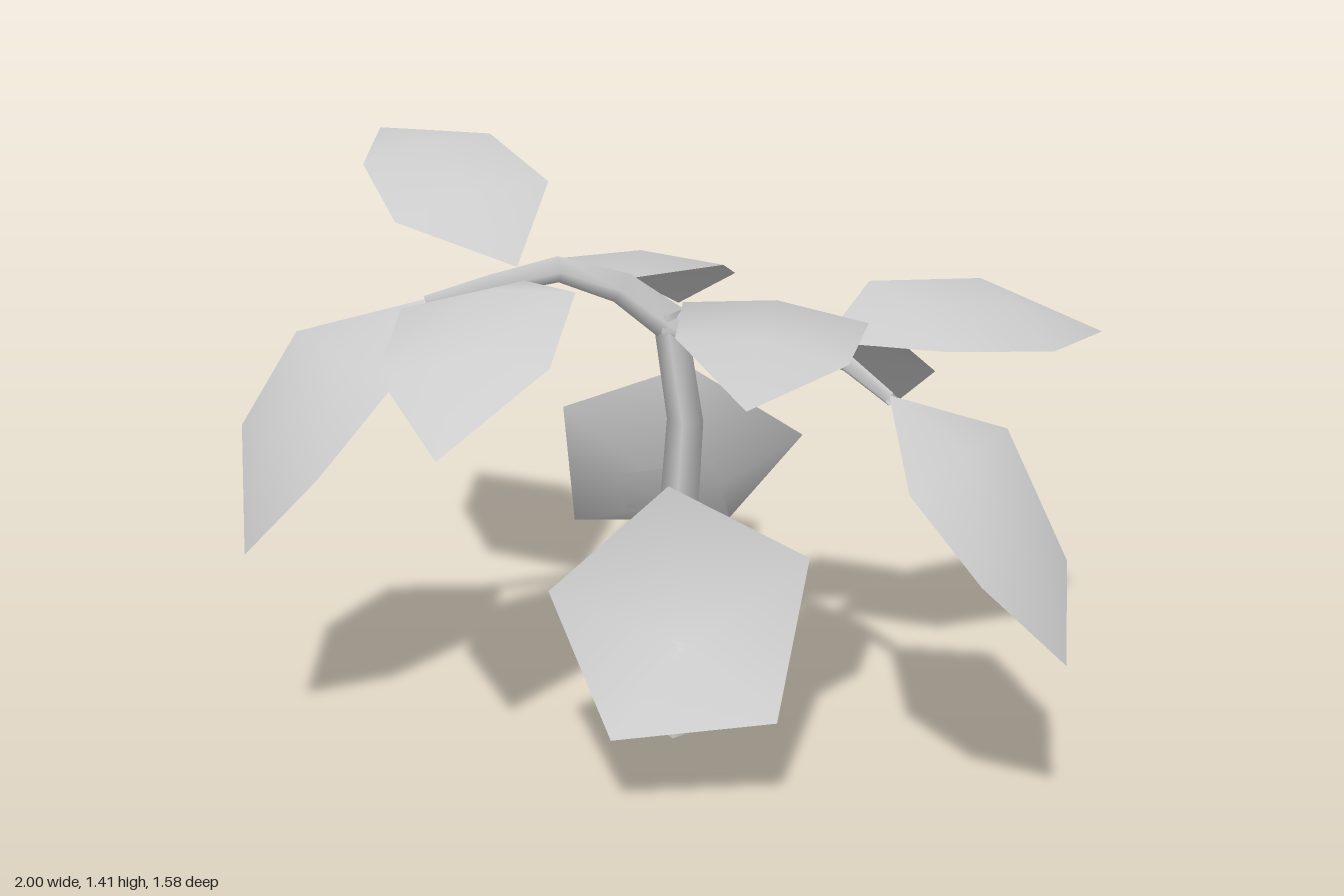
import * as THREE from 'three';

const material = new THREE.MeshStandardMaterial({ color: 0xcccccc, side: THREE.DoubleSide });

// Tapered four-sided limb with one ring per point
function limb(name, points, r0, r1) {
  const curve = new THREE.CatmullRomCurve3(points.map(p => new THREE.Vector3(...p)));
  const rings = points.length - 1;
  const sides = 4;
  const geo = new THREE.TubeGeometry(curve, rings, 1, sides);
  const pos = geo.attributes.position;
  const v = new THREE.Vector3();
  for (let i = 0; i < pos.count; i++) {
    const t = Math.floor(i / (sides + 1)) / rings;
    const c = curve.getPointAt(t);
    v.fromBufferAttribute(pos, i).sub(c).multiplyScalar(r0 + (r1 - r0) * t).add(c);
    pos.setXYZ(i, v.x, v.y, v.z);
  }
  const mesh = new THREE.Mesh(geo, material);
  mesh.name = name;
  return mesh;
}

function blade(name, points, index) {
  const geo = new THREE.BufferGeometry();
  geo.setAttribute('position', new THREE.Float32BufferAttribute(points.flat(), 3));
  geo.setIndex(index);
  geo.computeVertexNormals();
  const mesh = new THREE.Mesh(geo, material);
  mesh.name = name;
  return mesh;
}

// Crown leaf: six outline points and a raised midrib of two points (6 and 7)
function ribbedLeaf(name, outline, lift = 0.028) {
  const [base, a1, a2, tip, b2, b1] = outline.map(p => new THREE.Vector3(...p));
  const up = tip.clone().sub(base).cross(b1.clone().sub(a1)).normalize();
  if (up.y < 0) up.negate();
  const rib = [[a1, b1], [a2, b2]].map(([a, b]) => a.clone().lerp(b, 0.5).addScaledVector(up, lift).toArray());
  return blade(name, [...outline, ...rib], [
    0, 6, 1, 0, 5, 6,
    1, 6, 7, 1, 7, 2, 6, 5, 4, 6, 4, 7,
    2, 7, 3, 7, 4, 3
  ]);
}

// Cupped leaf: a fan from the stem end to the outline
function cupLeaf(name, outline, centre) {
  const n = outline.length;
  return blade(name, [...outline, centre], outline.flatMap((_, i) => [n, (i + 1) % n, i]));
}

export function createModel() {
  const plant = new THREE.Group();
  plant.name = 'plant';

  // Trunk, two crown branches and two low stems
  plant.add(
    limb('trunk', [[0, 0, -0.09], [0, 0.3, -0.09], [0.005, 0.6, -0.09], [0.02, 0.9, -0.095], [-0.02, 1.09, -0.1]], 0.056, 0.04),
    limb('leftCrownBranch', [[0.53, 1.0, 0.19], [0.41, 1.05, 0.08], [0.27, 1.08, 0], [0.12, 1.065, -0.06], [-0.02, 1.05, -0.1]], 0.018, 0.041),
    limb('rightCrownBranch', [[-0.57, 1.13, 0.05], [-0.41, 1.17, 0], [-0.24, 1.19, -0.075], [-0.11, 1.13, -0.1], [0, 1.05, -0.1]], 0.018, 0.046),
    limb('frontStem', [[0.01, 0.185, -0.08], [0.045, 0.33, 0.14]], 0.04, 0.036),
    limb('backStem', [[0.03, 0.375, -0.1], [0, 0.505, -0.285]], 0.04, 0.036)
  );

  // Square foot closing the trunk
  const foot = new THREE.Mesh(new THREE.CircleGeometry(0.056, 4).rotateX(Math.PI / 2), material);
  foot.name = 'trunkFoot';
  foot.position.z = -0.09;
  plant.add(foot);

  // Crown leaves: base, edge, edge, tip, edge, edge
  const crown = {
    rightEndLeaf: [[-0.57, 1.14, 0.05], [-0.89, 1.04, 0.035], [-1, 0.84, 0.15], [-0.95, 0.59, 0.34], [-0.75, 0.81, 0.4], [-0.59, 1.01, 0.32]],
    leftEndLeaf: [[0.525, 1.01, 0.19], [0.79, 0.92, 0.12], [0.94, 0.65, 0.23], [0.95, 0.485, 0.435], [0.76, 0.71, 0.55], [0.595, 0.89, 0.49]],
    leftFrontLeaf: [[0.29, 1.09, 0.04], [0.48, 1.2, 0.26], [0.46, 1.19, 0.52], [0.275, 1.17, 0.785], [0.09, 1.235, 0.53], [0.07, 1.235, 0.28]],
    rightFrontLeaf: [[-0.345, 1.18, 0], [-0.18, 1.23, 0.23], [-0.2, 1.12, 0.44], [-0.4, 0.985, 0.69], [-0.585, 1.09, 0.45], [-0.585, 1.17, 0.22]],
    rightBackLeaf: [[-0.37, 1.2, -0.04], [-0.35, 1.33, -0.33], [-0.53, 1.4, -0.5], [-0.83, 1.385, -0.58], [-0.805, 1.36, -0.31], [-0.665, 1.29, -0.06]],
    middleBackLeaf: [[-0.145, 1.16, -0.1], [0.075, 1.13, -0.36], [0.075, 1.04, -0.59], [-0.1, 0.89, -0.79], [-0.29, 1.06, -0.59], [-0.33, 1.14, -0.32]],
    leftBackLeaf: [[0.235, 1.08, -0.02], [0.535, 1.02, -0.14], [0.6, 0.89, -0.34], [0.5, 0.73, -0.57], [0.27, 0.885, -0.49], [0.16, 1.06, -0.23]],
    leftOuterLeaf: [[0.36, 1.08, 0.045], [0.645, 1.09, 0.105], [0.885, 1.05, -0.055], [0.995, 1.01, -0.345], [0.7, 1.13, -0.345], [0.45, 1.18, -0.12]]
  };
  for (const [name, outline] of Object.entries(crown)) plant.add(ribbedLeaf(name, outline));

  // Low leaves: a broad five-cornered one and a small one on each stem end
  plant.add(
    cupLeaf('frontLowLeaf', [[0.01, 0.725, 0.1], [0.35, 0.585, 0.15], [0.305, 0.27, 0.385], [-0.07, 0.23, 0.45], [-0.25, 0.505, 0.25]], [0.05, 0.335, 0.135]),
    cupLeaf('frontSmallLeaf', [[0, 0.49, 0.08], [0.25, 0.395, 0.125], [0.14, 0.24, 0.3], [-0.105, 0.32, 0.235]], [0.06, 0.34, 0.13]),
    cupLeaf('backLowLeaf', [[0, 0.89, -0.29], [-0.32, 0.755, -0.32], [-0.31, 0.42, -0.4], [0.06, 0.362, -0.6], [0.265, 0.655, -0.48]], [0, 0.525, -0.285]),
    cupLeaf('backSmallLeaf', [[0.07, 0.66, -0.25], [-0.18, 0.6, -0.27], [-0.15, 0.39, -0.4], [0.1, 0.39, -0.42]], [-0.01, 0.515, -0.28])
  );

  return plant;
}
